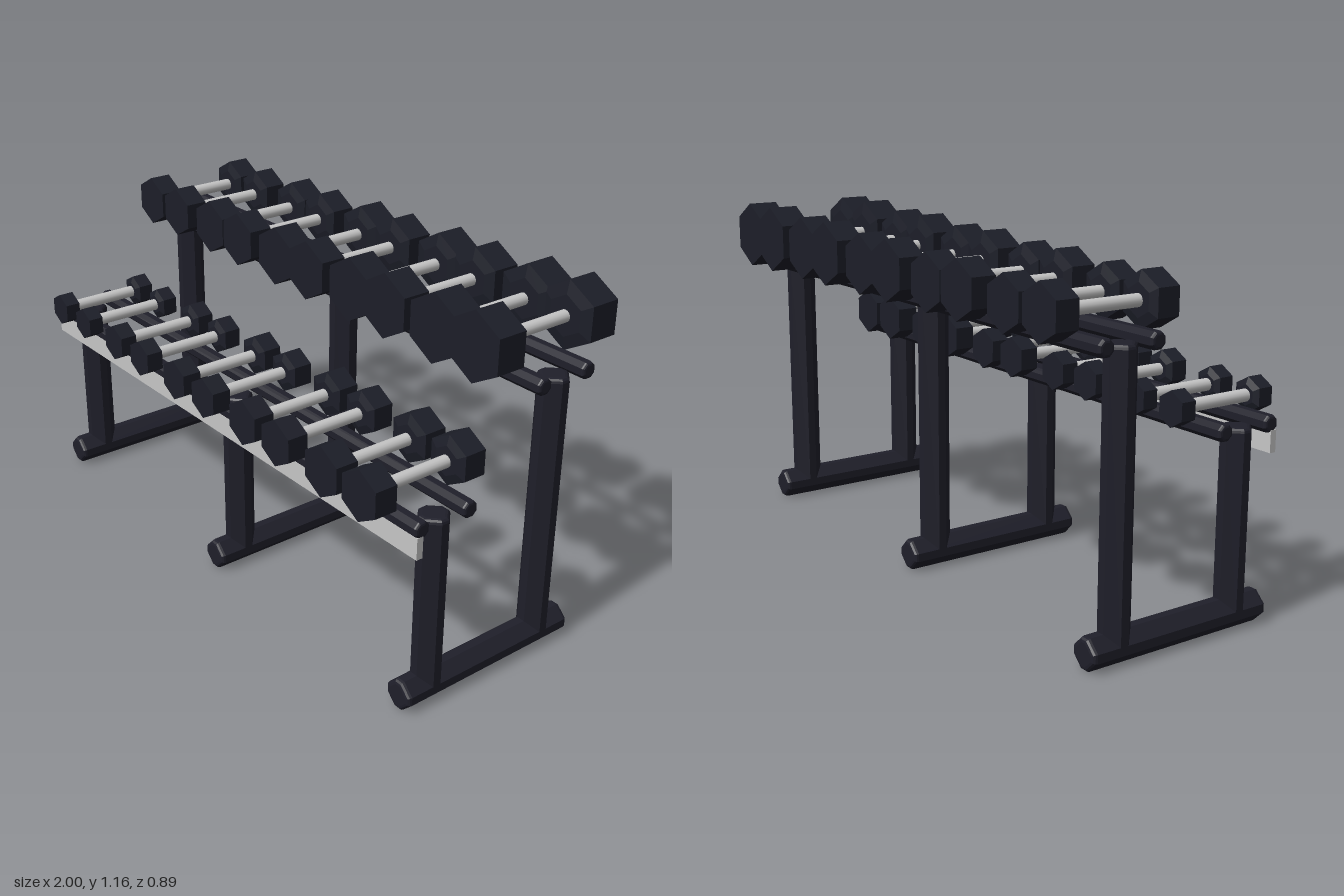
import * as THREE from 'three';

const frameMat = new THREE.MeshStandardMaterial({ color: 0x1f1f2a });
frameMat.name = 'frame black';
const rubberMat = new THREE.MeshStandardMaterial({ color: 0x1c1e28 });
rubberMat.name = 'rubber black';
const steelMat = new THREE.MeshStandardMaterial({ color: 0xc6c6c6 });
steelMat.name = 'steel';

function add(parent, name, geometry, material, x = 0, y = 0, z = 0) {
  const mesh = new THREE.Mesh(geometry, material);
  mesh.name = name;
  mesh.position.set(x, y, z);
  parent.add(mesh);
  return mesh;
}

// Eight-sided bar along z with eased ends; c is half the narrow flat
function bar(r, c, length, bevel) {
  const shape = new THREE.Shape([
    [c, -r], [r, -c], [r, c], [c, r], [-c, r], [-r, c], [-r, -c], [-c, -r],
  ].map(([x, y]) => new THREE.Vector2(x, y)));
  const g = new THREE.ExtrudeGeometry(shape, {
    depth: length - 2 * bevel, bevelEnabled: true, bevelThickness: bevel,
    bevelSize: bevel, bevelOffset: -bevel, bevelSegments: 3,
  });
  return g.translate(0, 0, bevel - length / 2);
}

// Hexagonal head along +z, with a raised chamfered inner face
function headGeometry(radius, inner, outer) {
  const profile = [
    [0, inner - 0.009], [radius * 0.6, inner - 0.009], [radius, inner],
    [radius, outer], [0, outer],
  ].map(([x, y]) => new THREE.Vector2(x, y));
  const g = new THREE.LatheGeometry(profile, 6).toNonIndexed();
  g.computeVertexNormals();
  return g.rotateX(Math.PI / 2);
}

function dumbbell(radius, inner, outer) {
  const group = new THREE.Group();
  group.name = 'dumbbell';
  const head = headGeometry(radius, inner, outer);
  add(group, 'frontHead', head, rubberMat);
  add(group, 'backHead', head, rubberMat).rotation.y = Math.PI;
  const handle = new THREE.CylinderGeometry(0.02, 0.02, inner * 2, 16).rotateX(Math.PI / 2);
  add(group, 'handle', handle, steelMat);
  return group;
}

export function createModel() {
  const model = new THREE.Group();
  model.name = 'dumbbellRack';

  // Three upright frames, each with a foot and two posts
  const foot = bar(0.05, 0.014, 0.665, 0.014);
  const post = (top) => bar(0.05, 0.014, top - 0.04, 0.014).rotateX(Math.PI / 2);
  const frontPost = post(0.63);
  const backPost = post(0.93);
  for (const x of [-0.945, 0, 0.945]) {
    const frame = new THREE.Group();
    frame.name = 'uprightFrame';
    frame.position.x = x;
    add(frame, 'foot', foot, frameMat, 0, 0.05, 0.018);
    add(frame, 'frontPost', frontPost, frameMat, 0, 0.335, 0.24);
    add(frame, 'backPost', backPost, frameMat, 0, 0.485, -0.205);
    model.add(frame);
  }

  // Two pairs of rails
  const rail = bar(0.026, 0.011, 2, 0.01).rotateY(Math.PI / 2);
  for (const [y, z] of [[0.63, 0.33], [0.63, 0.15], [0.93, -0.115], [0.93, -0.295]]) {
    add(model, 'rail', rail, frameMat, 0, y, z);
  }

  // Pale strip below the front rail
  add(model, 'frontStrip', new THREE.BoxGeometry(2, 0.07, 0.022), steelMat, 0, 0.577, 0.339);

  // Five matched pairs on each shelf, growing towards +x
  const shelves = [
    { name: 'lowerDumbbells', base: 0.63, z: 0.237, radius: [0.056, 0.082], inner: 0.128, outer: [0.18, 0.204] },
    { name: 'upperDumbbells', base: 0.932, z: -0.205, radius: [0.086, 0.112], inner: 0.137, outer: [0.214, 0.24] },
  ];
  for (const s of shelves) {
    const row = new THREE.Group();
    row.name = s.name;
    for (let i = 0; i < 5; i++) {
      const t = i / 4;
      const radius = THREE.MathUtils.lerp(...s.radius, t);
      const outer = THREE.MathUtils.lerp(...s.outer, t);
      for (const side of [-1, 1]) {
        const d = dumbbell(radius, s.inner, outer);
        d.position.set(-0.78 + i * 0.3885 + side * 0.083, s.base + radius, s.z);
        row.add(d);
      }
    }
    model.add(row);
  }
  return model;
}
